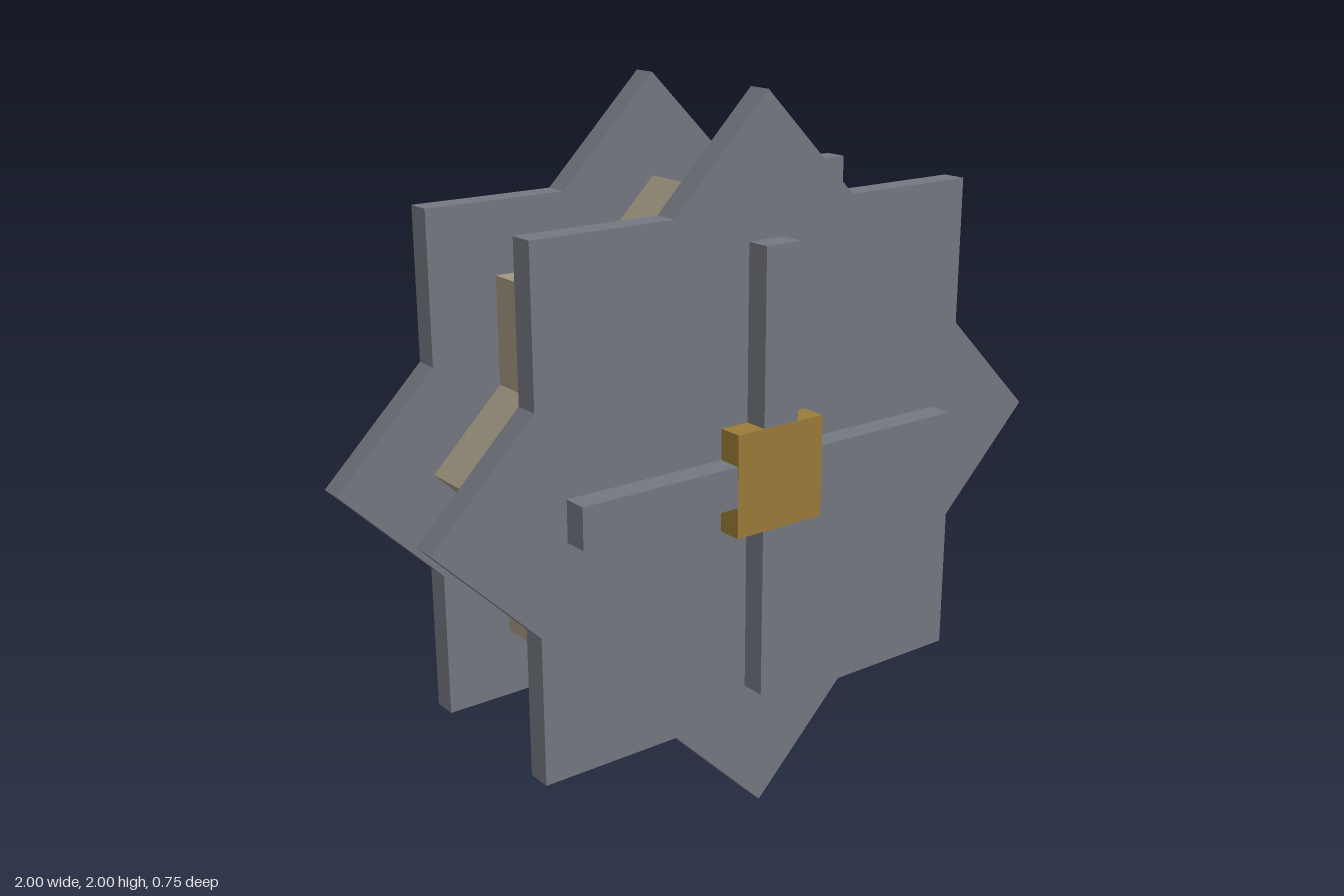
import * as THREE from 'three';

const grey = new THREE.MeshStandardMaterial({ name: 'steel grey', color: 0x747780 });
const tan = new THREE.MeshStandardMaterial({ name: 'tan', color: 0xa09680 });
const gold = new THREE.MeshStandardMaterial({ name: 'gold', color: 0x9a7b38 });

// Eight-pointed star slab (union of two squares) spanning z0..z1
function star(name, radius, z0, z1, material) {
  const notch = radius * Math.SQRT1_2 / Math.cos(Math.PI / 8);
  const points = [];
  for (let i = 0; i < 16; i++) {
    const a = (i * Math.PI) / 8;
    const r = i % 2 ? notch : radius;
    points.push(new THREE.Vector2(r * Math.cos(a), r * Math.sin(a)));
  }
  const geometry = new THREE.ExtrudeGeometry(new THREE.Shape(points), { depth: z1 - z0, bevelEnabled: false });
  const mesh = new THREE.Mesh(geometry, material);
  mesh.name = name;
  mesh.position.set(0, 1, z0);
  return mesh;
}

// Box centred on x = 0, given its width, y range and z range
function block(name, width, y0, y1, z0, z1, material) {
  const mesh = new THREE.Mesh(new THREE.BoxGeometry(width, y1 - y0, z1 - z0), material);
  mesh.name = name;
  mesh.position.set(0, (y0 + y1) / 2, (z0 + z1) / 2);
  return mesh;
}

export function createModel() {
  const model = new THREE.Group();
  model.name = 'starWheel';

  // Outer star plates around a smaller star core
  model.add(
    star('frontPlate', 1, 0.232, 0.302, grey),
    star('backPlate', 1, -0.261, -0.191, grey),
    star('core', 0.72, -0.191, 0.232, tan)
  );

  // Raised cross with a square boss on each plate; the boss stands just proud
  for (const [side, z0, z1, dir] of [['front', 0.302, 0.372, 1], ['back', -0.331, -0.261, -1]]) {
    const b0 = dir < 0 ? z0 - 0.001 : z0;
    const b1 = dir > 0 ? z1 + 0.001 : z1;
    model.add(
      block(side + 'UprightBar', 0.113, 0.377, 1.623, z0, z1, grey),
      block(side + 'CrossBar', 1.246, 0.943, 1.057, z0, z1, grey),
      block(side + 'Boss', 0.286, 0.857, 1.143, b0, b1, gold)
    );
  }

  // Two plaques across the rear upright
  model.add(
    block('upperPlaque', 0.42, 1.315, 1.525, -0.373, -0.331, grey),
    block('lowerPlaque', 0.565, 0.497, 0.661, -0.373, -0.331, tan)
  );
  return model;
}
